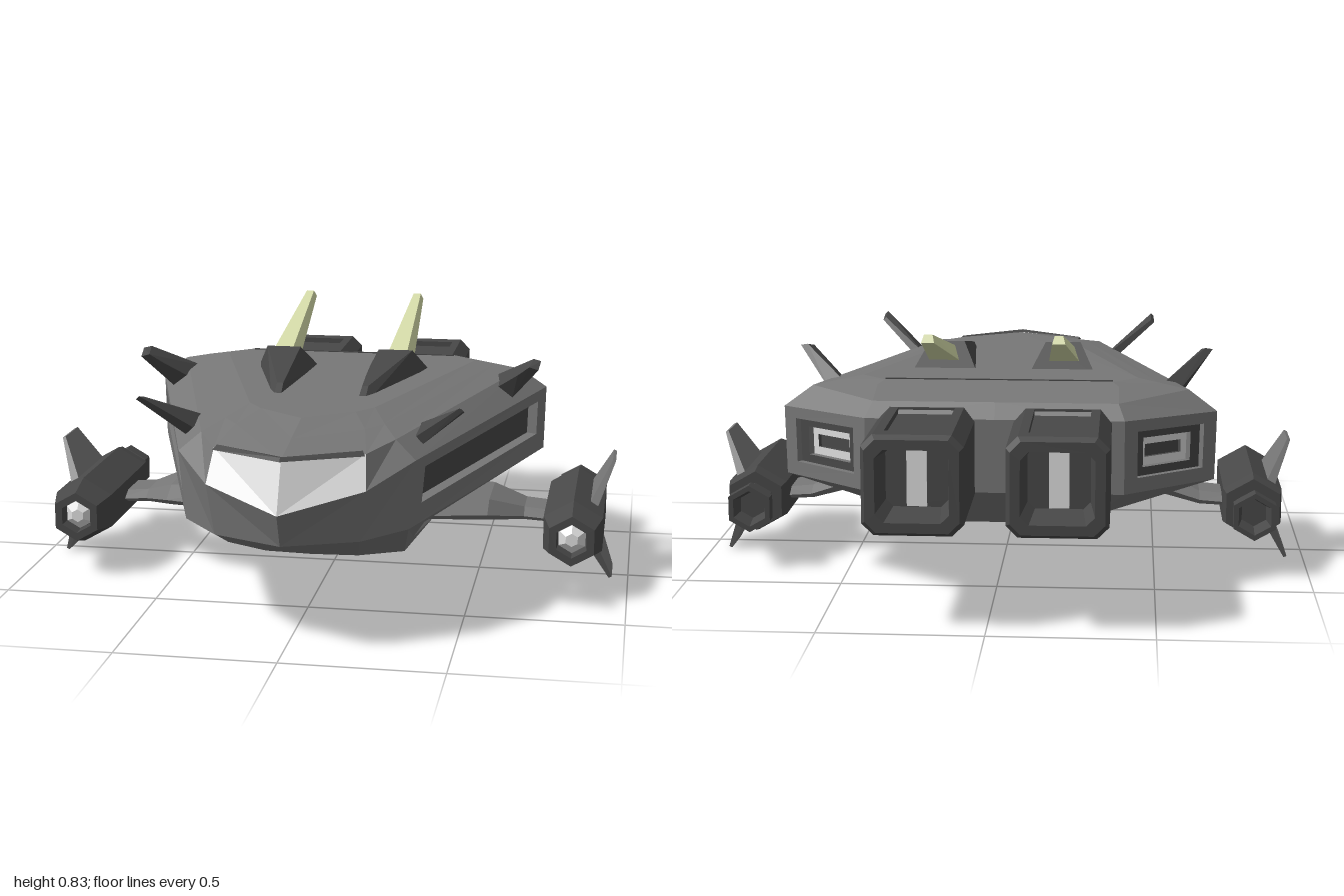
import * as THREE from 'three';
import { ConvexGeometry } from 'three/addons/geometries/ConvexGeometry.js';

const material = (name, color) => {
  const m = new THREE.MeshStandardMaterial({ color });
  m.name = name;
  return m;
};

export function createModel() {
  const model = new THREE.Group();
  model.name = 'spacecraft';
  const hullGrey = material('hull grey', 0x777777);
  const darkGrey = material('dark grey', 0x484848);
  const glass = material('pale glass', 0xdedede);
  const pale = material('pale yellow green', 0xd6dcaa);
  const V = (x, y, z) => new THREE.Vector3(x, y, z);

  // Adds a list of triangle corners, and its reflection, as flat faceted meshes
  const addPair = (name, corners, mat) => {
    for (const side of [1, -1]) {
      const pts = [];
      for (let i = 0; i < corners.length; i += 3) {
        const [a, b, c] = corners.slice(i, i + 3);
        for (const p of side > 0 ? [a, b, c] : [a, c, b]) pts.push(V(p.x * side, p.y, p.z));
      }
      const geo = new THREE.BufferGeometry().setFromPoints(pts);
      geo.computeVertexNormals();
      const mesh = new THREE.Mesh(geo, mat);
      mesh.name = (side > 0 ? 'left ' : 'right ') + name;
      model.add(mesh);
    }
  };

  // Collects faces by material, then adds them on both sides
  const part = (name, build) => {
    const faces = new Map();
    const tri = (m, ...p) => {
      if (!faces.has(m)) faces.set(m, []);
      faces.get(m).push(...p);
    };
    const quad = (m, a, b, c, d) => tri(m, a, b, c, a, c, d);
    const fan = (m, ring) => {
      for (let i = 1; i < ring.length - 1; i++) tri(m, ring[0], ring[i], ring[i + 1]);
    };
    // Frame, walls and floor of a recess in a four cornered face
    const inset = (q, [u0, u1, v0, v1], depth, frame, wall, floor) => {
      const at = (u, v) => q[0].clone().lerp(q[1], u).lerp(q[3].clone().lerp(q[2], u), v);
      const rim = [at(u0, v0), at(u1, v0), at(u1, v1), at(u0, v1)];
      const n = q[2].clone().sub(q[0]).cross(q[3].clone().sub(q[1])).normalize();
      const low = rim.map(p => p.clone().addScaledVector(n, -depth));
      for (let i = 0; i < 4; i++) {
        const j = (i + 1) % 4;
        quad(frame, q[i], q[j], rim[j], rim[i]);
        quad(wall, rim[i], rim[j], low[j], low[i]);
      }
      if (floor) quad(floor, ...low);
      return low;
    };
    // Skin over successive rings; special faces are keyed 'ring,point'
    const skin = (m, rings, closed, special = {}) => {
      for (let j = 0; j < rings.length - 1; j++) {
        const n = rings[j].length;
        for (let i = 0; i < (closed ? n : n - 1); i++) {
          const k = (i + 1) % n;
          const q = [rings[j][i], rings[j][k], rings[j + 1][k], rings[j + 1][i]];
          const f = special[j + ',' + i];
          if (f) f(q); else quad(m, ...q);
        }
      }
      fan(m, [...rings[0]].reverse());
      fan(m, rings[rings.length - 1]);
    };
    build({ quad, fan, inset, skin });
    for (const [m, corners] of faces) addPair(name + ' ' + m.name, corners, m);
  };

  // Solid convex part on both sides
  const convex = (name, mat, pts) => {
    const pos = new ConvexGeometry(pts.map(p => V(...p))).getAttribute('position');
    const corners = [];
    for (let i = 0; i < pos.count; i++) corners.push(V(0, 0, 0).fromBufferAttribute(pos, i));
    addPair(name, corners, mat);
  };

  // Hull: half outlines from nose to tail, stacked from keel to deck
  const outlines = [
    [[0, .165, .44], [.15, .165, .43], [.29, .165, .36], [.3, .165, -.2], [.2, .165, -.3], [0, .165, -.3]],
    [[0, .345, .945], [.22, .34, .84], [.345, .34, .69], [.685, .34, -.38], [.4, .34, -.61], [0, .34, -.61]],
    [[0, .45, .99], [.24, .5, .86], [.365, .555, .69], [.69, .56, -.38], [.4, .57, -.61], [0, .57, -.61]],
    [[0, .6, .92], [.23, .595, .79], [.3, .61, .66], [.6, .625, -.36], [.38, .615, -.56], [0, .615, -.56]],
    [[0, .625, .76], [.2, .628, .62], [.25, .63, .55], [.51, .643, -.35], [.38, .645, -.44], [0, .645, -.44]],
    [[0, .65, .6], [.15, .65, .49], [.2, .65, .42], [.44, .655, -.33], [.36, .655, -.41], [0, .655, -.41]],
  ].map(ring => ring.map(p => V(...p)));
  part('hull', ({ quad, inset, skin }) => skin(hullGrey, outlines, false, {
    // Underside pocket ahead of the wing
    '0,2': q => inset(q, [.12, .5, .3, .86], .05, hullGrey, hullGrey, darkGrey),
    // Long side recess
    '1,2': q => inset(q, [.07, .93, .3, .83], .035, hullGrey, hullGrey, darkGrey),
    // Rear corner thruster
    '1,3': q => {
      const outer = inset(q, [.14, .86, .2, .84], .02, hullGrey, hullGrey, null);
      const inner = inset(outer, [.14, .86, .18, .82], .02, darkGrey, hullGrey, null);
      inset(inner, [.12, .88, .28, .72], .012, glass, darkGrey, darkGrey);
    },
    // Cockpit glass
    '2,0': q => quad(glass, ...q),
  }));

  // Brow over the glass
  convex('brow', darkGrey, [[0, .6, .945], [.23, .593, .81], [.22, .598, .78], [0, .604, .9],
    [0, .61, .93], [.22, .605, .79]]);

  // Thin deck seams
  convex('rear deck seam', darkGrey, [[0, .654, -.395], [0, .654, -.401], [.36, .654, -.395], [.36, .654, -.401],
    [0, .658, -.395], [0, .658, -.401], [.36, .658, -.395], [.36, .658, -.401]]);

  // Main engines: chamfered boxes with recessed panels and an open rear
  const box = (z, s, cx = .21, cy = .45, w = .15, h = .15, c = .035) => [
    [w, c - h], [w, h - c], [w - c, h], [c - w, h], [-w, h - c], [-w, c - h], [c - w, -h], [w - c, -h],
  ].map(([x, y]) => V(cx + x * s, cy + y * s, z));
  part('main engine', ({ inset, skin }) => {
    const panel = q => inset(q, [.12, .88, .13, .92], .018, darkGrey, darkGrey, darkGrey);
    skin(darkGrey, [box(-.86, .62), box(-1, .72), box(-1, .92), box(-.98, 1), box(-.55, 1), box(-.51, .92)],
      true, { '3,2': panel, '3,6': panel });
  });
  convex('engine glow', glass, [.18, .24].flatMap(x => [.36, .54].flatMap(y => [-.868, -.859].map(z => [x, y, z]))));

  // Wing: six sided sections running outward to the pod
  const section = (x, y, t, z0, z1) => {
    const e = (z1 - z0) * .2;
    return [V(x, y + t, z0 + e), V(x, y + t, z1 - e), V(x, y, z1), V(x, y - t, z1 - e), V(x, y - t, z0 + e), V(x, y, z0)];
  };
  part('wing', ({ skin }) => skin(hullGrey, [section(.28, .27, .04, -.2, .32), section(.54, .25, .035, -.16, .2),
    section(.65, .212, .022, -.15, .06), section(.75, .205, .02, -.15, .06)], true));

  // Wing pods: hexagonal bodies with a flared nozzle and a front lamp
  const hex = ([z, r]) => Array.from({ length: 6 }, (_, i) => {
    const a = Math.PI / 2 + i * Math.PI / 3;
    return V(.82 + r * Math.cos(a), .21 + r * Math.sin(a), z);
  });
  part('pod', ({ skin }) => skin(darkGrey, [[-.3, .045], [-.36, .06], [-.36, .078], [-.31, .078], [-.29, .062], [-.25, .062],
    [-.25, .1], [-.2, .11], [.22, .11], [.315, .083], [.315, .056], [.27, .052]].map(hex), true));
  part('pod lamp', ({ skin }) => skin(glass, [[.265, .05], [.275, .05], [.3, .022]].map(hex), true));

  // Pod fins, above and below
  for (const s of [1, -1]) {
    const y = d => .21 + s * d;
    convex(s > 0 ? 'upper pod fin' : 'lower pod fin', hullGrey, [
      [.86, y(.06), .13], [.89, y(.05), .13], [.86, y(.06), -.18], [.89, y(.05), -.18],
      [.937, y(.204), .04], [.947, y(.2), .04], [.937, y(.204), -.1], [.947, y(.2), -.1]]);
  }

  // Forward swept fins on the shoulders
  convex('front shoulder fin', darkGrey, [[.33, .6, .42], [.35, .58, .42], [.35, .6, .57], [.37, .575, .57],
    [.49, .715, .67], [.5, .705, .67], [.49, .7, .61], [.5, .69, .61]]);
  convex('rear shoulder fin', darkGrey, [[.51, .615, -.26], [.56, .585, -.26], [.54, .61, -.12], [.59, .575, -.12],
    [.61, .665, -.06], [.66, .715, -.1], [.685, .71, -.09], [.68, .69, -.035], [.65, .7, -.03]]);

  // Deck housings with long rear pointing spines
  convex('spine housing', darkGrey, [[.125, .63, .32], [.15, .63, .32], [.13, .675, .23], [.15, .675, .23],
    [.1, .64, -.11], [.28, .64, -.11], [.135, .73, -.1], [.25, .73, -.1],
    [.085, .64, -.2], [.3, .64, -.2], [.14, .68, -.14], [.25, .68, -.14]]);
  convex('spine', pale, [[.145, .66, -.1], [.25, .66, -.1], [.165, .715, -.1], [.23, .715, -.1],
    [.178, .812, -.65], [.218, .812, -.65], [.185, .835, -.63], [.211, .835, -.63]]);

  return model;
}
